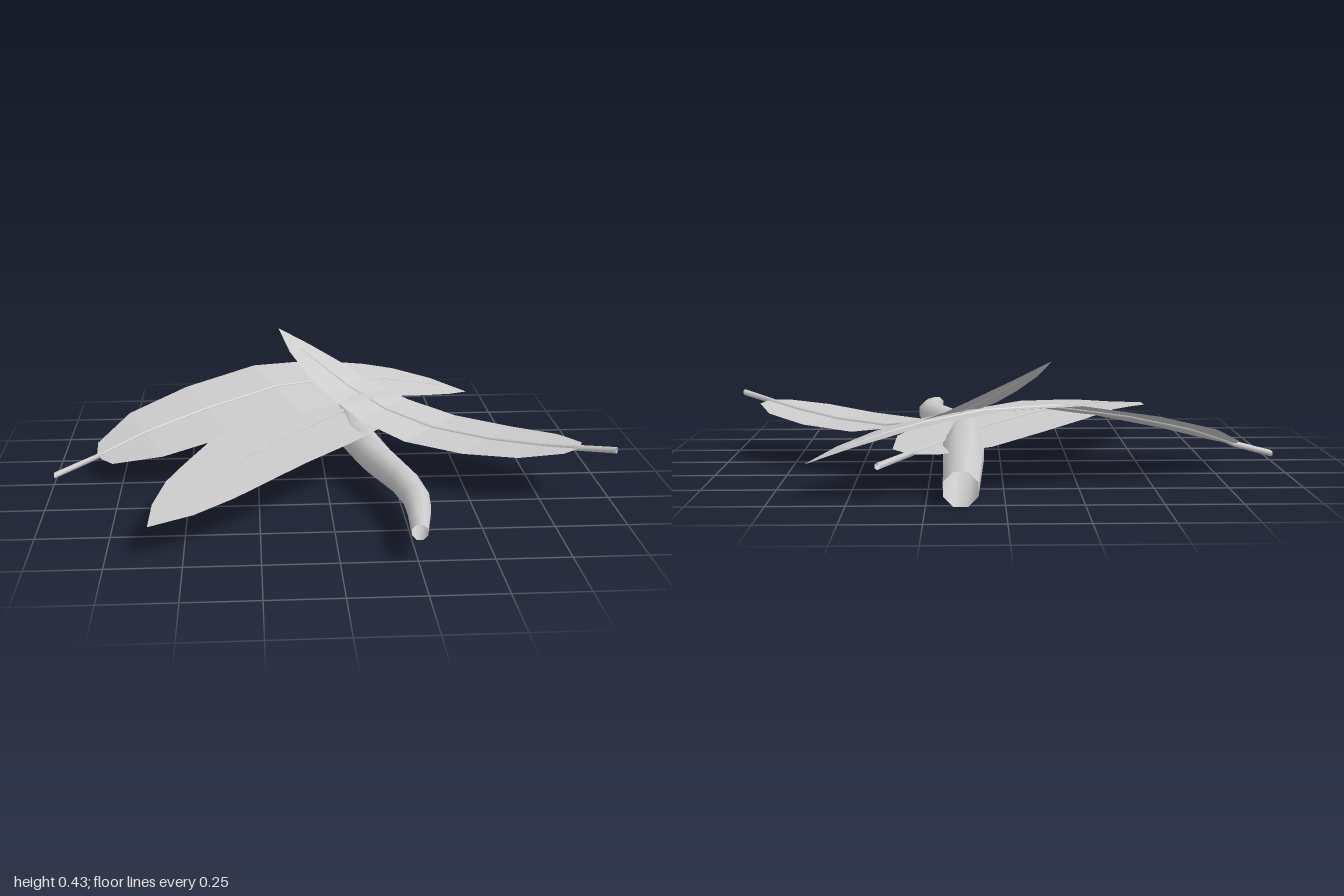
import * as THREE from 'three';

const UP = new THREE.Vector3(0, 1, 0);

// Skin over rows of points; closed joins the last column to the first.
function skin(name, rows, closed, flatShading) {
  const n = rows[0].length, cols = closed ? n : n - 1, index = [];
  for (let i = 0; i < rows.length - 1; i++) {
    for (let j = 0; j < cols; j++) {
      const a = i * n + j, b = i * n + (j + 1) % n;
      index.push(a, b, a + n, b, b + n, a + n);
    }
  }
  const geometry = new THREE.BufferGeometry().setFromPoints(rows.flat());
  geometry.setIndex(index);
  geometry.computeVertexNormals();
  const mesh = new THREE.Mesh(geometry, new THREE.MeshStandardMaterial({
    color: 0xcccccc, side: THREE.DoubleSide, flatShading,
  }));
  mesh.name = name;
  return mesh;
}

// Open tapered tube with upright rings along a path.
function taperedTube(name, path, radii, sides) {
  const rows = path.map((p, i) => {
    const t = path[Math.min(i + 1, path.length - 1)].clone().sub(path[Math.max(i - 1, 0)]);
    const across = UP.clone().cross(t).normalize();
    return Array.from({ length: sides }, (_, j) => {
      const a = ((j + 0.5) / sides) * Math.PI * 2;
      return p.clone().addScaledVector(across, Math.cos(a) * radii[i])
        .addScaledVector(UP, Math.sin(a) * radii[i]);
    });
  });
  return skin(name, rows, true, false);
}

// Shared leaf outline: position from stalk end to tip, and half width
const outline = [
  [0, 0], [0.097, 0.025], [0.11, 0.092], [0.2, 0.196], [0.34, 0.233], [0.505, 0.235],
  [0.65, 0.207], [0.77, 0.168], [0.84, 0.143], [0.925, 0.085], [1, 0],
];

function leaf({ name, stalk, tip, heights, width = 1, tilt = 0, shift = 0 }) {
  const group = new THREE.Group();
  group.name = name;
  const start = new THREE.Vector3(stalk[0], 0, stalk[1]);
  const end = new THREE.Vector3(tip[0], 0, tip[1]);
  const along = end.clone().sub(start).normalize();
  const across = new THREE.Vector3(-along.z, 0, along.x);
  const spine = outline.map(([t], i) => start.clone().lerp(end, t).setY(heights[i]));

  // Blade: left edge, midrib line, right edge in each row
  const rows = outline.map(([, half], i) => [-1, 0, 1].map((s) => {
    const d = half * (s * width + (s ? shift : 0));
    return spine[i].clone().addScaledVector(across, d).addScaledVector(UP, d * tilt);
  })).slice(1);
  group.add(skin('blade', rows, false, true));

  // Midrib runs out past the base as a stalk and stops short of the tip
  const rib = spine.slice(0, -1);
  group.add(taperedTube('midribAndStalk', rib, rib.map((_, i) => 0.012 - 0.001 * i), 6));
  return group;
}

export function createModel() {
  const model = new THREE.Group();
  model.name = 'twigWithLeaves';

  // Twig: x, y, z, radius
  const twig = [
    [0.14, 0.062, -0.77, 0.06], [0.132, 0.133, -0.5, 0.073], [0.13, 0.125, -0.1, 0.066],
    [0.175, 0.122, 0.1, 0.062], [0.25, 0.122, 0.35, 0.052], [0.273, 0.12, 0.5, 0.046],
    [0.27, 0.118, 0.6, 0.041], [0.25, 0.115, 0.77, 0.028],
  ];
  model.add(taperedTube('twig', twig.map(([x, y, z]) => new THREE.Vector3(x, y, z)),
    twig.map((p) => p[3]), 8));

  // Leaves
  model.add(
    leaf({
      name: 'backLeaf', stalk: [-1, -0.02], tip: [0.635, -0.675], tilt: -0.13, shift: 0.07,
      heights: [0.035, 0.085, 0.095, 0.15, 0.21, 0.262, 0.262, 0.235, 0.21, 0.17, 0.125],
    }),
    leaf({
      name: 'frontLeaf', stalk: [0.4, -0.74], tip: [-0.61, 0.7],
      heights: [0.13, 0.145, 0.147, 0.16, 0.178, 0.187, 0.187, 0.17, 0.158, 0.138, 0.125],
    }),
    leaf({
      name: 'raisedLeaf', stalk: [0.99, 0.345], tip: [-0.155, -0.57], width: 0.8, shift: -0.05,
      heights: [0.22, 0.2, 0.197, 0.18, 0.162, 0.16, 0.195, 0.26, 0.31, 0.375, 0.44],
    }),
  );
  return model;
}
